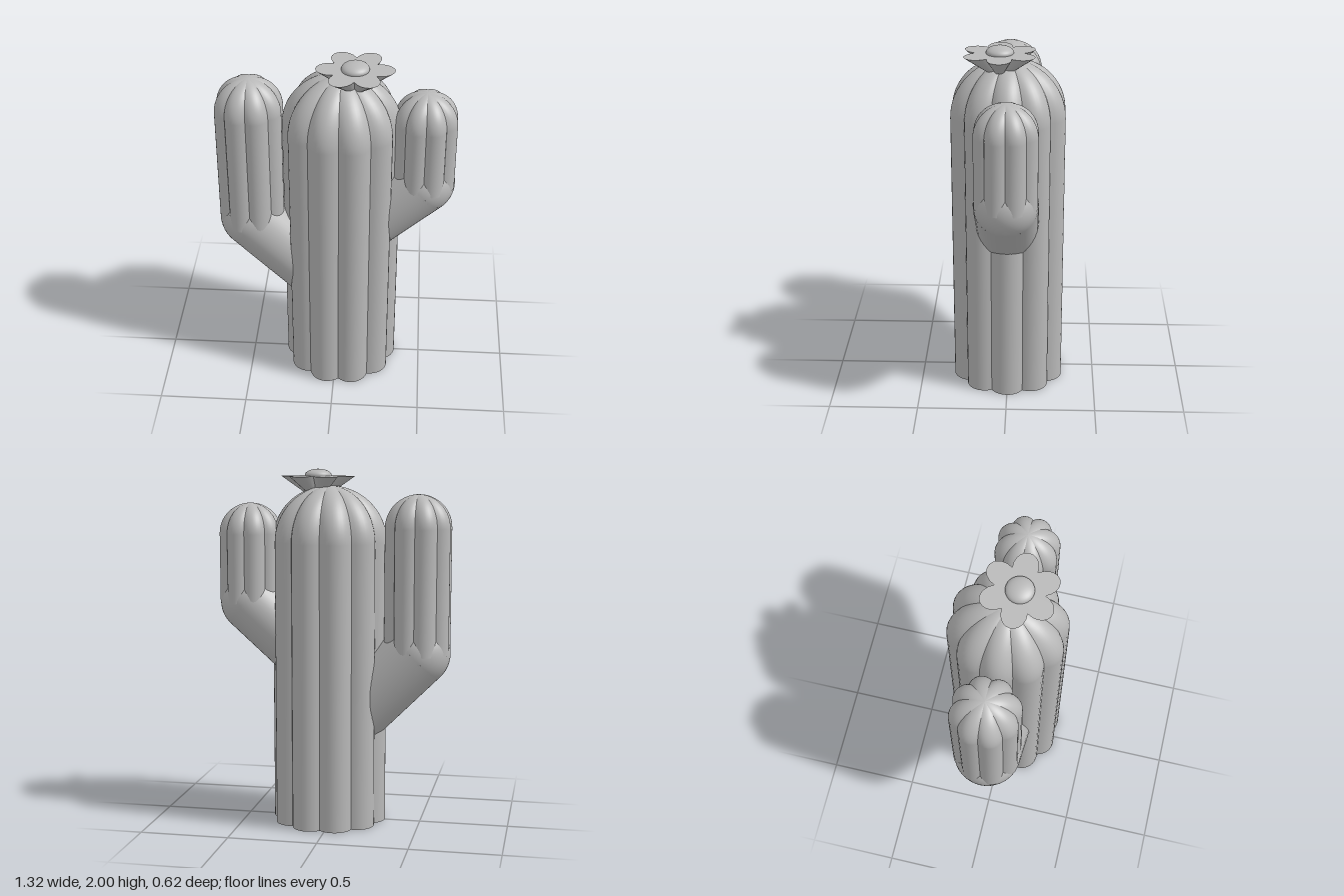
import * as THREE from 'three';
import { mergeGeometries } from 'three/addons/utils/BufferGeometryUtils.js';

const grey = new THREE.MeshStandardMaterial({ color: 0xb8b8b8 });
grey.name = 'plain grey';

const SEG = 10; // segments across one rib

// Scalloped radius: t runs from -1 to 1 across a rib, with sharp grooves at both ends
const ribRadius = (t, inner, outer) => inner + (outer - inner) * (1 - t * t);

// Flat scalloped disc at height y, facing up or down
function scallopedCap(ribs, inner, outer, scale, y, up) {
  const g = new THREE.CircleGeometry(1, ribs * SEG);
  g.rotateX(up ? -Math.PI / 2 : Math.PI / 2);
  const p = g.attributes.position;
  for (let i = 1; i < p.count; i++) {
    const a = Math.atan2(p.getX(i), p.getZ(i)) + Math.PI * 2;
    const f = (a * ribs) / (Math.PI * 2);
    const t = (f - Math.floor(f + 1e-5)) * 2 - 1;
    const r = ribRadius(t, inner, outer) * scale;
    p.setXYZ(i, p.getX(i) * r, 0, p.getZ(i) * r);
  }
  g.translate(0, y, 0);
  return g;
}

// Ribbed solid: profile is a list of [radius scale, y] from bottom to top.
// Each rib is its own smooth strip, so the grooves stay sharp.
function ribbed(ribs, inner, outer, profile, topCap = false) {
  const parts = [];
  const rows = profile.length - 1;
  for (let k = 0; k < ribs; k++) {
    const g = new THREE.PlaneGeometry(1, 1, SEG, rows);
    const p = g.attributes.position;
    for (let i = 0; i < p.count; i++) {
      const u = (i % (SEG + 1)) / SEG;
      const [s, y] = profile[rows - Math.floor(i / (SEG + 1))];
      const a = ((k + u) / ribs) * Math.PI * 2;
      const r = ribRadius(u * 2 - 1, inner, outer) * s;
      p.setXYZ(i, r * Math.sin(a), y, r * Math.cos(a));
    }
    g.computeVertexNormals();
    parts.push(g);
  }
  parts.push(scallopedCap(ribs, inner, outer, profile[0][0], profile[0][1], false));
  if (topCap) parts.push(scallopedCap(ribs, inner, outer, profile[rows][0], profile[rows][1], true));
  return mergeGeometries(parts);
}

// Straight column ending in a round dome
function columnProfile(bottom, shoulder, top) {
  const pts = [[1, bottom]];
  const steps = 16;
  for (let i = 0; i <= steps; i++) {
    const a = (i / steps) * Math.PI / 2;
    pts.push([Math.max(Math.cos(a), 0.0005), shoulder + (top - shoulder) * Math.sin(a)]);
  }
  return pts;
}

function addMesh(parent, name, geometry, x = 0, y = 0, z = 0) {
  const m = new THREE.Mesh(geometry, grey);
  m.name = name;
  m.position.set(x, y, z);
  parent.add(m);
  return m;
}

// Arm: slanted branch out of the trunk, round elbow, ribbed upright
function makeArm(name, { x, elbowY, radius, inner, outer, shoulder, top, slope, length }) {
  const arm = new THREE.Group();
  arm.name = name;
  const side = Math.sign(x);
  addMesh(arm, 'elbow', new THREE.SphereGeometry(radius, 40, 28), x, elbowY);
  const dx = -side * Math.cos(slope) * length, dy = -Math.sin(slope) * length;
  const branch = addMesh(arm, 'branch', new THREE.CylinderGeometry(radius, radius, length, 40),
    x + dx / 2, elbowY + dy / 2);
  branch.rotation.z = Math.atan2(-dx, dy);
  addMesh(arm, 'upright', ribbed(8, inner, outer, columnProfile(elbowY, shoulder, top)), x);
  return arm;
}

export function createModel() {
  const model = new THREE.Group();
  model.name = 'cactus';

  // Trunk with ten ribs
  addMesh(model, 'trunk', ribbed(10, 0.285, 0.324, columnProfile(0, 1.6, 1.91)), 0.027);

  // Arms
  model.add(makeArm('rightArm', {
    x: -0.475, elbowY: 0.98, radius: 0.187, inner: 0.165, outer: 0.19,
    shoulder: 1.68, top: 1.865, slope: Math.PI / 4, length: 0.55,
  }));
  model.add(makeArm('leftArm', {
    x: 0.482, elbowY: 1.25, radius: 0.174, inner: 0.153, outer: 0.177,
    shoulder: 1.64, top: 1.81, slope: 0.73, length: 0.5,
  }));

  // Six-petalled flower with a round centre
  const flower = new THREE.Group();
  flower.name = 'flower';
  flower.position.set(0.1, 0, 0.043);
  addMesh(flower, 'petals', ribbed(6, 0.132, 0.21, [[0.37, 1.868], [1, 1.96]], true));
  const centre = addMesh(flower, 'flowerCentre', new THREE.SphereGeometry(0.075, 32, 20), 0, 1.965);
  centre.scale.y = 0.035 / 0.075;
  model.add(flower);

  return model;
}
